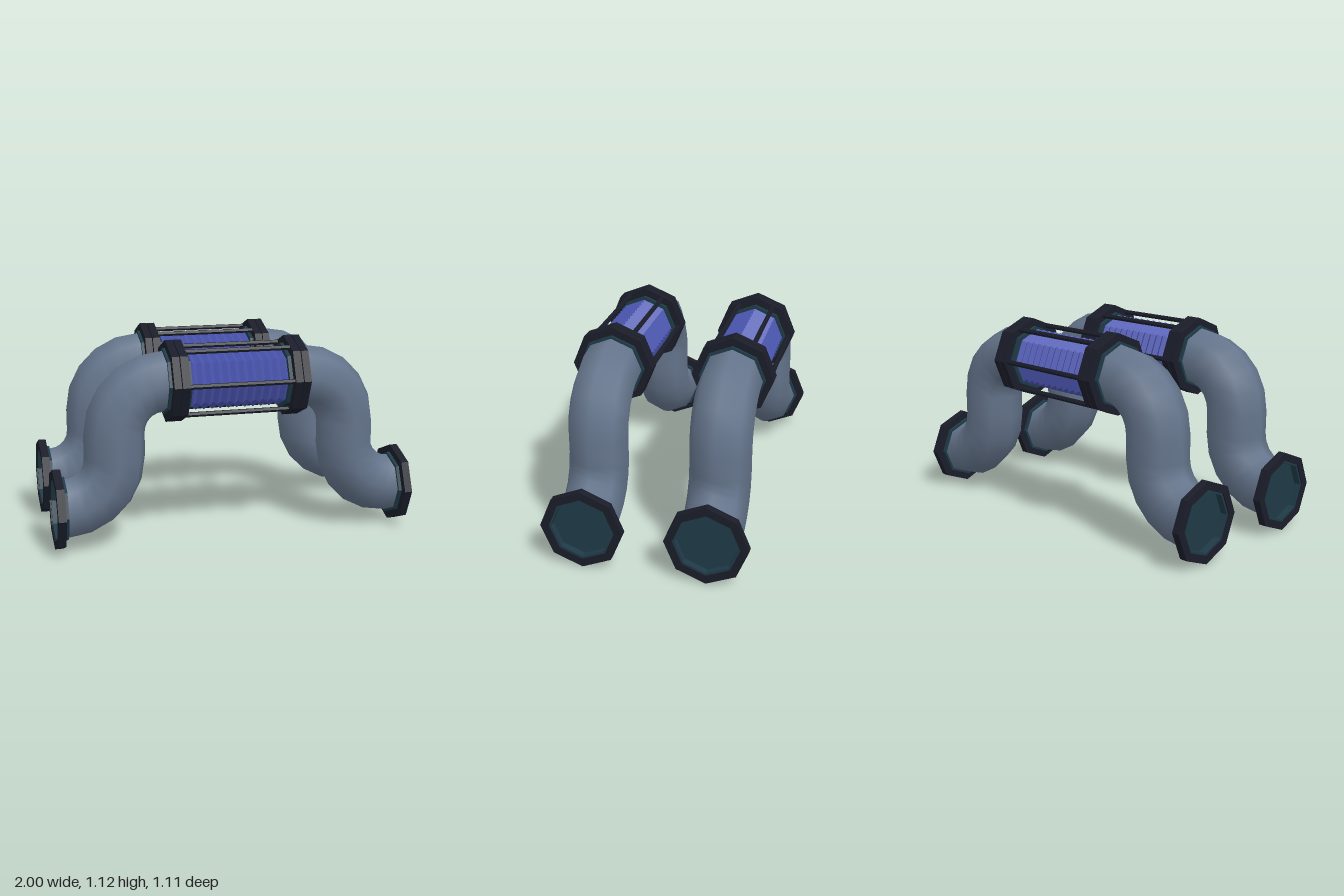
import * as THREE from 'three';

const SIDES = 8;
const TOP = 0.895, LOW = 0.225; // heights of the pipe centre lines
const PIPE_R = 0.167, BEND = 0.272;

const mat = (color, opts = {}) => {
  const m = new THREE.MeshStandardMaterial(opts);
  m.color.set(color);
  return m;
};
const pipeMat = mat(0x64748b, { side: THREE.DoubleSide });
const ironMat = mat(0x1a1d29, { flatShading: true });
const tealMat = mat(0x1e3a47, { flatShading: true });
const blueMat = mat(0x4a55b0, { flatShading: true, side: THREE.DoubleSide });

function add(parent, name, geometry, material) {
  const mesh = new THREE.Mesh(geometry, material);
  mesh.name = name;
  parent.add(mesh);
  return mesh;
}

// Octagonal ring along x, from x0 to x1
function ring(inner, outer, x0, x1) {
  const pts = [[inner, x0], [outer, x0], [outer, x1], [inner, x1], [inner, x0]];
  return new THREE.LatheGeometry(pts.map(p => new THREE.Vector2(...p)), SIDES).rotateZ(-Math.PI / 2);
}

// S-shaped pipe: two mitred elbows of five segments each
function pipeGeometry() {
  const stations = [[0.33, TOP, 0]];
  for (let i = 0; i <= 5; i++) {
    const a = i * Math.PI / 10;
    stations.push([0.39 + BEND * Math.sin(a), TOP - BEND + BEND * Math.cos(a), a]);
  }
  for (let i = 5; i >= 0; i--) {
    const a = i * Math.PI / 10;
    stations.push([0.934 - BEND * Math.sin(a), LOW + BEND - BEND * Math.cos(a), a]);
  }
  stations.push([0.99, LOW, 0]);

  const pos = [], index = [];
  stations.forEach(([x, y, a], i) => {
    for (let j = 0; j < SIDES; j++) {
      const t = j / SIDES * Math.PI * 2;
      const n = PIPE_R * Math.cos(t);
      pos.push(x + n * Math.sin(a), y + n * Math.cos(a), PIPE_R * Math.sin(t));
      if (i === 0) continue;
      const k = (j + 1) % SIDES, p = (i - 1) * SIDES, q = i * SIDES;
      index.push(p + j, p + k, q + j, p + k, q + k, q + j);
    }
  });
  const g = new THREE.BufferGeometry();
  g.setAttribute('position', new THREE.Float32BufferAttribute(pos, 3));
  g.setIndex(index);
  g.computeVertexNormals();
  return g;
}

// One end: bent pipe, double coupling flange and open end flange
function makeArm() {
  const arm = new THREE.Group();
  arm.name = 'pipeArm';
  add(arm, 'bentPipe', pipeGeometry(), pipeMat);

  add(arm, 'endFlange', ring(0.178, 0.224, 0.957, 1.0), ironMat).position.y = LOW;
  add(arm, 'endCollar', ring(0.166, 0.181, 0.938, 0.993), tealMat).position.y = LOW;
  const plug = new THREE.CylinderGeometry(0.166, 0.166, 0.01, SIDES).rotateZ(-Math.PI / 2);
  add(arm, 'endPlug', plug, tealMat).position.set(0.95, LOW, 0);

  add(arm, 'innerFlange', ring(0.14, 0.224, 0.29, 0.333), ironMat).position.y = TOP;
  add(arm, 'outerFlange', ring(0.14, 0.224, 0.338, 0.378), ironMat).position.y = TOP;
  add(arm, 'couplingCollar', ring(0.14, 0.181, 0.27, 0.394), tealMat).position.y = TOP;
  return arm;
}

// Corrugated sleeve between the flanges
function bellowsGeometry() {
  const ridges = 12, half = 0.28, pts = [];
  for (let i = 0; i <= ridges * 2; i++) {
    pts.push(new THREE.Vector2(i % 2 ? 0.167 : 0.147, -half + i * half / ridges));
  }
  return new THREE.LatheGeometry(pts, SIDES).rotateZ(-Math.PI / 2);
}

function makePipe() {
  const pipe = new THREE.Group();
  pipe.name = 'pipeAssembly';
  for (const turn of [0, Math.PI]) {
    const arm = makeArm();
    arm.rotation.y = turn;
    pipe.add(arm);
  }
  add(pipe, 'bellows', bellowsGeometry(), blueMat).position.y = TOP;

  // Six tie rods around the bellows
  const rod = new THREE.CylinderGeometry(0.014, 0.014, 0.59, 6).rotateZ(Math.PI / 2);
  for (let i = 0; i < 6; i++) {
    const a = i * Math.PI / 3;
    add(pipe, 'tieRod', rod, ironMat).position.set(0, TOP + 0.196 * Math.sin(a), 0.196 * Math.cos(a));
  }
  return pipe;
}

export function createModel() {
  const model = new THREE.Group();
  model.name = 'twinPipes';
  for (const z of [-0.333, 0.333]) {
    const pipe = makePipe();
    pipe.position.z = z;
    model.add(pipe);
  }
  return model;
}
